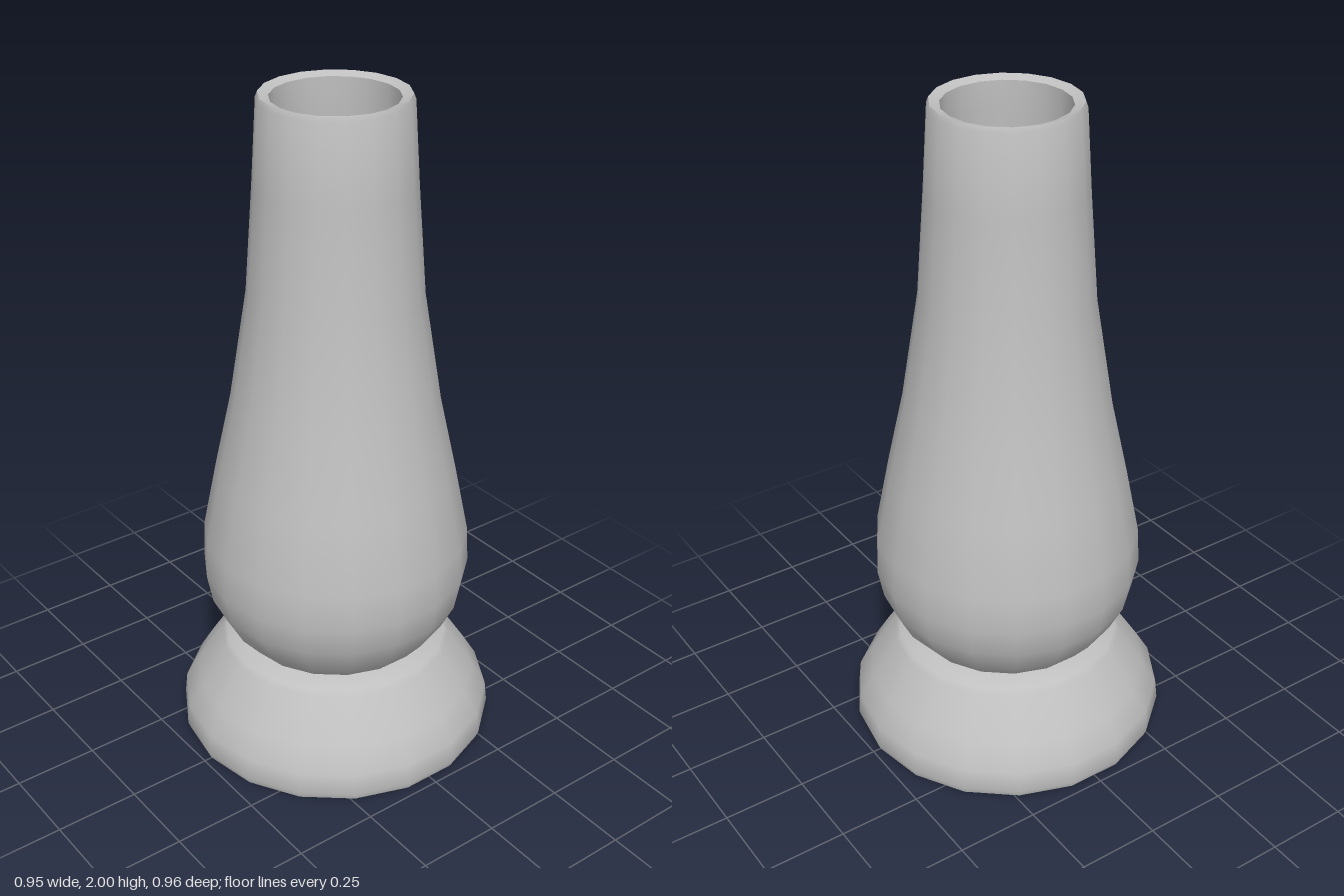
import * as THREE from 'three';
import { toCreasedNormals } from 'three/addons/utils/BufferGeometryUtils.js';

const SIDES = 18;

// Turned part from [radius, height] pairs, listed from the underside outward and up
function turned(name, profile, material, crease = 0.75) {
  const points = profile.map(([r, y]) => new THREE.Vector2(r, y));
  const mesh = new THREE.Mesh(toCreasedNormals(new THREE.LatheGeometry(points, SIDES), crease), material);
  mesh.name = name;
  return mesh;
}

export function createModel() {
  const group = new THREE.Group();
  group.name = 'lamp';

  const grey = new THREE.MeshStandardMaterial({ color: 0xc0c0c0 });
  grey.name = 'grey shell';
  const red = new THREE.MeshStandardMaterial({ color: 0xb50c14 });
  red.name = 'red liquid';
  const orange = new THREE.MeshStandardMaterial({ color: 0xdc5510 });
  orange.name = 'orange blob';

  // Flared foot with a narrow shoulder
  group.add(turned('base', [
    [0, 0], [0.475, 0], [0.482, 0.02], [0.475, 0.085], [0.43, 0.16],
    [0.352, 0.28], [0.34, 0.295], [0.26, 0.32], [0, 0.32],
  ], grey));

  // Hollow body: outer wall, rim, then the inner wall and floor
  group.add(turned('body', [
    [0, 0.315], [0.29, 0.315], [0.345, 0.38], [0.385, 0.46], [0.402, 0.55],
    [0.397, 0.66], [0.355, 0.87], [0.305, 1.1], [0.252, 1.43], [0.228, 1.75], [0.213, 1.985],
    [0.207, 2], [0.178, 1.99],
    [0.178, 1.9], [0.195, 1.72], [0.215, 1.43], [0.265, 1.1], [0.315, 0.87],
    [0.355, 0.66], [0.355, 0.55], [0.31, 0.42], [0, 0.38],
  ], grey));

  // Red filling in the belly of the body
  group.add(turned('liquid', [
    [0, 0.4], [0.29, 0.425], [0.34, 0.55], [0.34, 0.66], [0.3, 0.87], [0, 0.87],
  ], red));

  // Orange blob rising out of the filling
  const blob = new THREE.Mesh(new THREE.SphereGeometry(0.172, 14, 10), orange);
  blob.name = 'blob';
  blob.scale.y = 1.15;
  blob.position.set(0.003, 0.95, 0.012);
  group.add(blob);

  return group;
}
